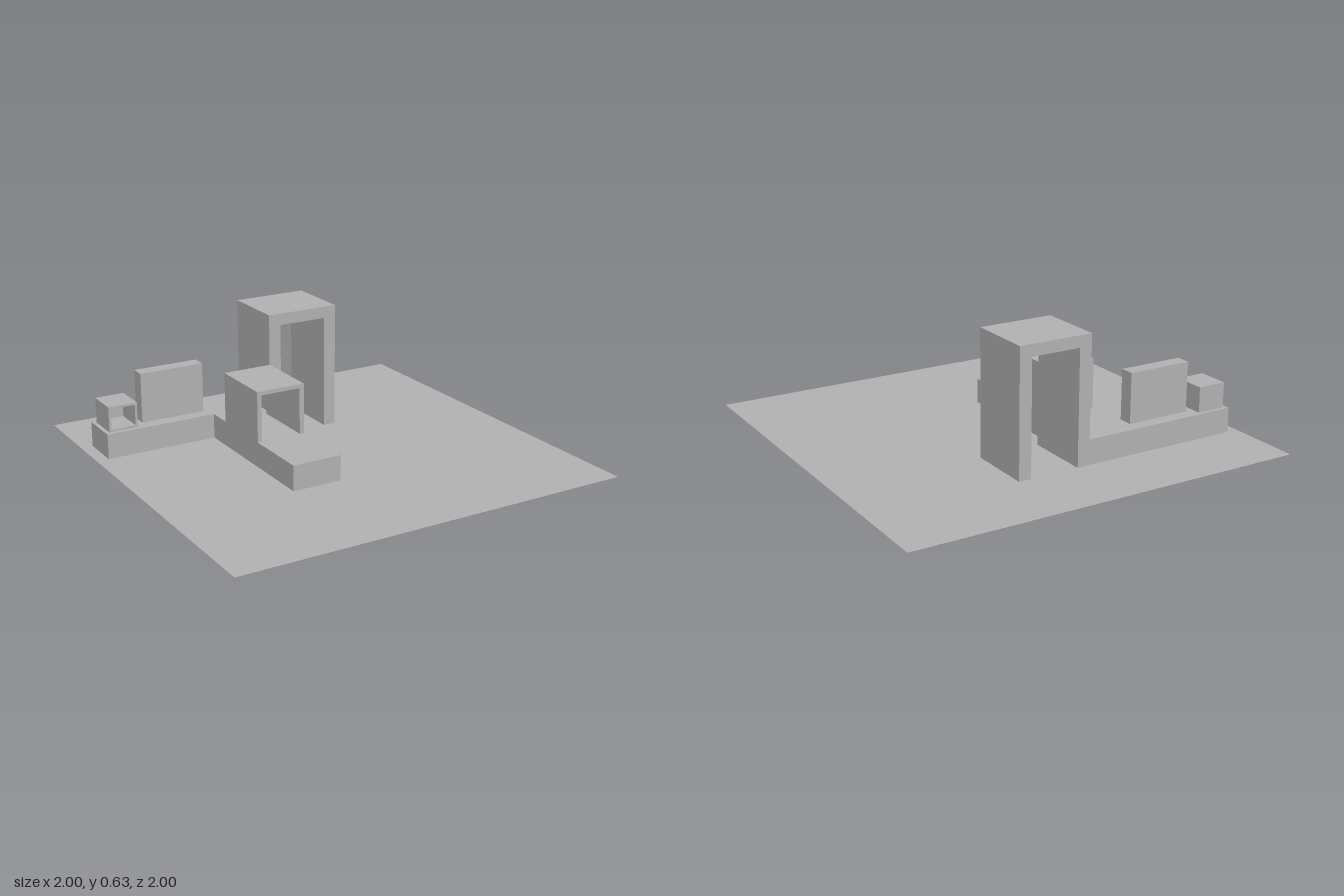
import * as THREE from 'three';

export function createModel() {
  const model = new THREE.Group();
  model.name = 'blockBuildings';
  const grey = new THREE.MeshStandardMaterial({ color: 0xb4b4b4, side: THREE.DoubleSide });
  grey.name = 'plainGrey';

  const add = (name, geometry) => {
    const mesh = new THREE.Mesh(geometry, grey);
    mesh.name = name;
    model.add(mesh);
    return mesh;
  };
  const outline = (pts) => pts.map(([x, y]) => new THREE.Vector2(x, y));

  // Box given by its minimum and maximum on each axis
  const block = (name, [x0, x1], [y0, y1], [z0, z1]) =>
    add(name, new THREE.BoxGeometry(x1 - x0, y1 - y0, z1 - z0)
      .translate((x0 + x1) / 2, (y0 + y1) / 2, (z0 + z1) / 2));

  // Front-facing outline pushed through from z0 to z1
  const extrude = (name, pts, z0, z1, hole) => {
    const shape = new THREE.Shape(outline(pts));
    if (hole) shape.holes.push(new THREE.Path(outline(hole)));
    return add(name, new THREE.ExtrudeGeometry(shape, { depth: z1 - z0, bevelEnabled: false })
      .translate(0, 0, z0));
  };

  // Inverted U: outer span, wall thicknesses and height above its foot
  const archway = (name, [x0, x1], [y0, y1], side, top, z0, z1) =>
    extrude(name, [
      [x0, y0], [x0 + side, y0], [x0 + side, y1 - top], [x1 - side, y1 - top],
      [x1 - side, y0], [x1, y0], [x1, y1], [x0, y1],
    ], z0, z1);

  // Flat ground sheet
  add('ground', new THREE.PlaneGeometry(2, 2).rotateX(-Math.PI / 2));

  // L-shaped low plinth, drawn in plan as (x, -z)
  const plan = new THREE.Shape(outline([
    [-0.94, 0.625], [-0.94, 0.42], [-0.375, 0.42], [-0.375, -0.375],
    [-0.125, -0.375], [-0.125, 0.625],
  ]));
  add('plinth', new THREE.ExtrudeGeometry(plan, { depth: 0.125, bevelEnabled: false })
    .rotateX(-Math.PI / 2));

  // Tall gateway and the smaller passage on the plinth
  archway('tallArch', [-0.125, 0.25], [0, 0.627], 0.0625, 0.058, -0.627, -0.293);
  archway('passage', [-0.375, -0.125], [0.125, 0.375], 0.023, 0.02, -0.293, 0.04);

  // Upright slab on the plinth
  block('slab', [-0.73, -0.4], [0.125, 0.375], [-0.56, -0.487]);

  // Small open-fronted box: frame walls and a closed back
  const [x0, x1, y0, y1] = [-0.92, -0.773, 0.125, 0.252];
  const w = 0.0115;
  extrude('smallBoxFrame', [[x0, y0], [x1, y0], [x1, y1], [x0, y1]], -0.605, -0.443,
    [[x0 + w, y0 + w], [x0 + w, y1 - w], [x1 - w, y1 - w], [x1 - w, y0 + w]]);
  block('smallBoxBack', [x0 + w, x1 - w], [y0 + w, y1 - w], [-0.605, -0.593]);

  return model;
}
